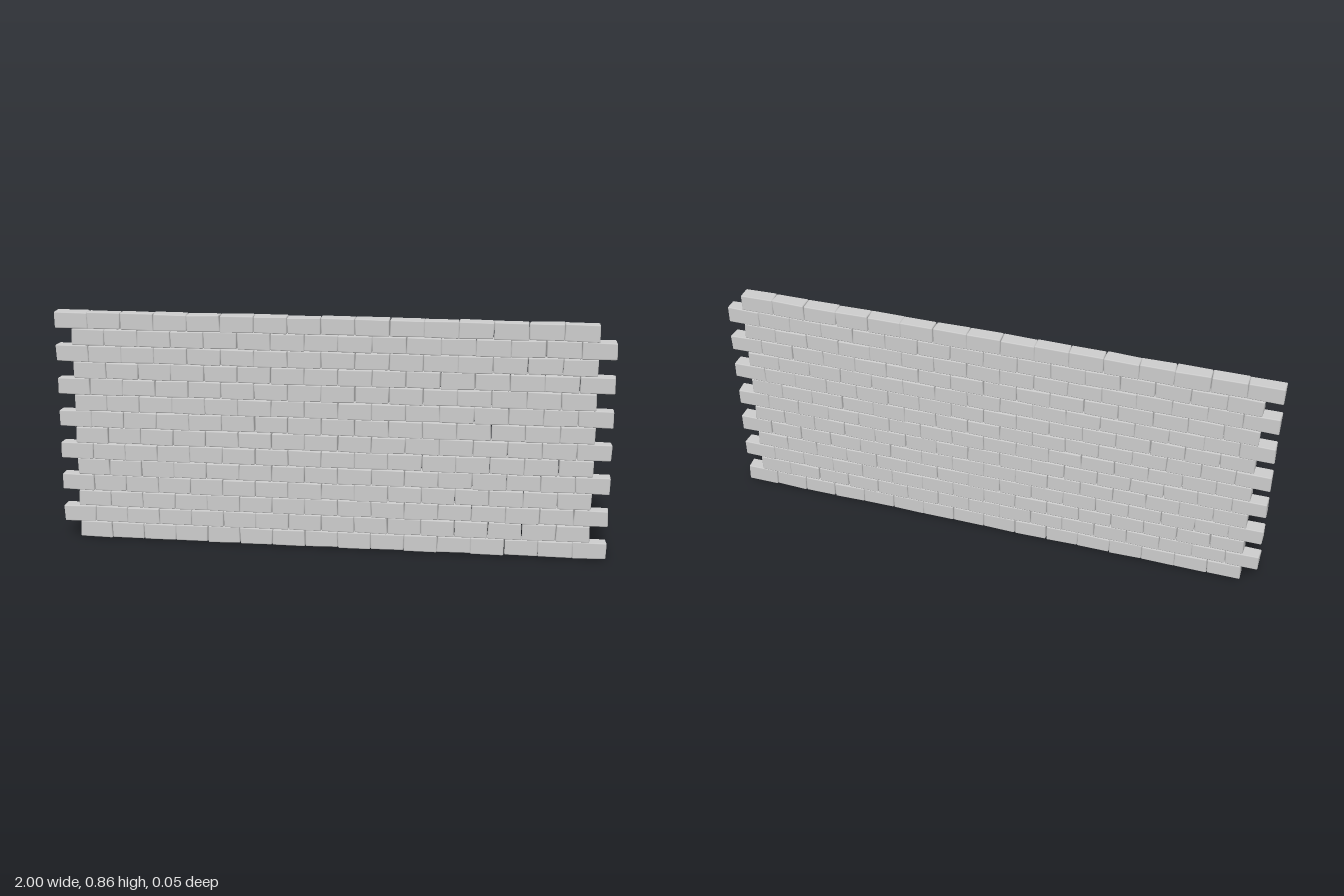
import * as THREE from 'three';
import { RoundedBoxGeometry } from 'three/addons/geometries/RoundedBoxGeometry.js';
import { mergeGeometries } from 'three/addons/utils/BufferGeometryUtils.js';

const COURSES = 14, BRICKS = 16;
const PITCH_X = 0.1211, PITCH_Y = 0.061;
const LENGTH = 0.1203, HEIGHT = 0.0602, DEPTH = 0.05;
const BEVEL = 0.004, WOBBLE = 0.002;

// Small seeded generator returning values in [-1, 1]
function seeded(seed) {
  let s = seed;
  return () => {
    s = (s * 16807) % 2147483647;
    return (s / 2147483647) * 2 - 1;
  };
}

// One bevelled brick whose eight corners are each nudged a little
function makeBrick(random) {
  const geometry = new RoundedBoxGeometry(LENGTH, HEIGHT, DEPTH, 1, BEVEL);
  const nudges = Array.from({ length: 8 }, () =>
    new THREE.Vector3(random(), random(), random() * 0.4).multiplyScalar(WOBBLE));
  const position = geometry.attributes.position;
  const p = new THREE.Vector3();
  for (let i = 0; i < position.count; i++) {
    p.fromBufferAttribute(position, i);
    const corner = (p.x > 0 ? 1 : 0) + (p.y > 0 ? 2 : 0) + (p.z > 0 ? 4 : 0);
    p.add(nudges[corner]);
    position.setXYZ(i, p.x, p.y, p.z);
  }
  return geometry;
}

export function createModel() {
  const wall = new THREE.Group();
  wall.name = 'brickWall';
  const material = new THREE.MeshStandardMaterial({ color: 0xcccccc });
  const random = seeded(4217);

  // Running bond: alternate courses shift by half a brick
  for (let row = 0; row < COURSES; row++) {
    const shift = (row % 2 === 0 ? 1 : -1) * PITCH_X / 4;
    const bricks = [];
    for (let i = 0; i < BRICKS; i++) {
      const brick = makeBrick(random);
      brick.translate((i - (BRICKS - 1) / 2) * PITCH_X + shift, 0, 0);
      bricks.push(brick);
    }
    const course = new THREE.Mesh(mergeGeometries(bricks), material);
    course.name = `brickCourse${row + 1}`;
    course.position.y = 0.032 + row * PITCH_Y;
    wall.add(course);
  }
  return wall;
}
